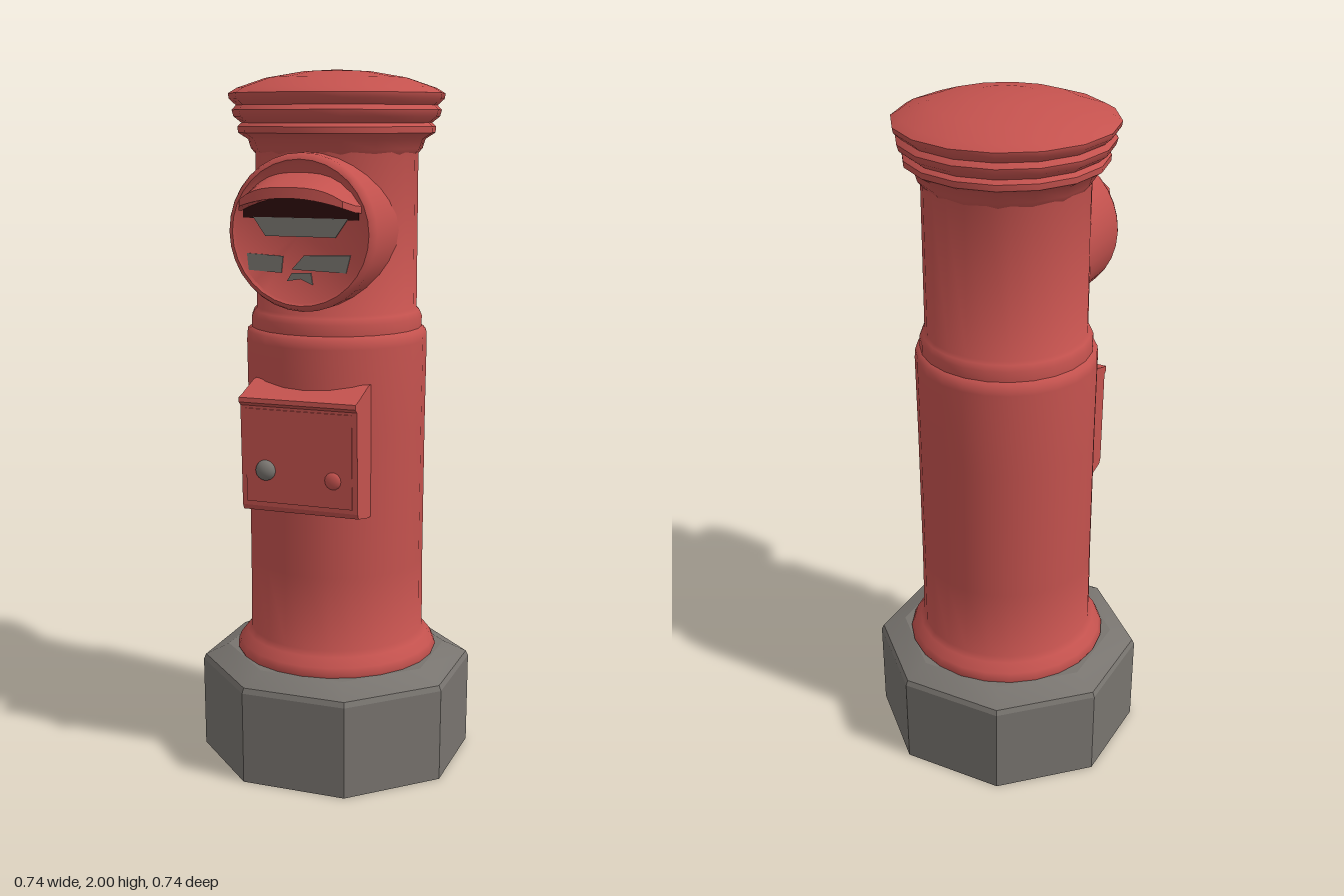
import * as THREE from 'three';
import { toCreasedNormals } from 'three/addons/utils/BufferGeometryUtils.js';

const AXIS_Z = -0.012;

function material(name, color, side = THREE.FrontSide) {
  const m = new THREE.MeshStandardMaterial({ color, side });
  m.name = name;
  return m;
}

function lathe(profile, segments, crease, phase = 0) {
  const points = profile.map(([r, y]) => new THREE.Vector2(r, y));
  return toCreasedNormals(new THREE.LatheGeometry(points, segments, phase), crease);
}

// Arched hood lofted through three closed cross-sections, back to front
function visorGeometry() {
  const N = 12, positions = [], index = [];
  const sections = [ // z, front bulge, half width, top middle, under middle, edge height
    [0.25, 0, 0.175, 1.735, 1.668, 1.622],
    [0.30, 0.005, 0.166, 1.712, 1.666, 1.626],
    [0.345, 0.02, 0.145, 1.692, 1.664, 1.64],
  ];
  for (const [z, bulge, w, top, under, edge] of sections) {
    const add = (u, mid, power, base) => positions.push(
      u * w, base + (mid - base) * (1 - Math.abs(u) ** power), z + bulge * (1 - u * u));
    for (let i = 0; i <= N; i++) add(-1 + 2 * i / N, top, 3, edge + 0.018);
    for (let i = N; i >= 0; i--) add(-1 + 2 * i / N, under, 2, edge);
  }
  const ring = 2 * N + 2;
  for (let s = 0; s < sections.length - 1; s++) {
    for (let i = 0; i < ring; i++) {
      const a = s * ring + i, b = s * ring + (i + 1) % ring;
      index.push(a, a + ring, b, b, a + ring, b + ring);
    }
  }
  const last = (sections.length - 1) * ring;
  for (let i = 0; i < N; i++) {
    const t0 = last + i, t1 = t0 + 1, b0 = last + 2 * N + 1 - i, b1 = b0 - 1;
    index.push(b0, b1, t1, b0, t1, t0);
  }
  const g = new THREE.BufferGeometry();
  g.setAttribute('position', new THREE.Float32BufferAttribute(positions, 3));
  g.setIndex(index);
  return toCreasedNormals(g, 0.7);
}

// Thin plate outlined in x, y
function plate(points, depth = 0.006) {
  const shape = new THREE.Shape(points.map(([x, y]) => new THREE.Vector2(x, y)));
  return new THREE.ExtrudeGeometry(shape, { depth, bevelEnabled: false });
}

export function createModel() {
  const model = new THREE.Group();
  model.name = 'pillarPostBox';
  const red = material('red paint', 0xc4524e);
  const grey = material('grey stone', 0x78746f);
  const dark = material('dark slot', 0x2c0c0c);

  const add = (name, geometry, mat, x = 0, y = 0, z = 0, parent = model) => {
    const mesh = new THREE.Mesh(geometry, mat);
    mesh.name = name;
    mesh.position.set(x, y, z);
    parent.add(mesh);
    return mesh;
  };

  // Octagonal stone plinth
  const plinth = add('plinth', lathe([[0, 0], [0.4, 0], [0.402, 0.27], [0.395, 0.285],
    [0.325, 0.318], [0, 0.318]], 8, 0.35, Math.PI / 8), grey, 0, 0, -0.01);
  plinth.scale.z = 0.97;

  // Column with foot flare and shoulder
  add('column', lathe([[0.29, 0.31], [0.297, 0.325], [0.288, 0.345], [0.268, 0.37], [0.256, 0.385],
    [0.255, 0.6], [0.257, 1.0], [0.26, 1.25], [0.258, 1.275], [0.245, 1.285], [0.245, 1.315],
    [0.238, 1.332], [0.23, 1.34], [0.23, 1.78], [0.235, 1.8]], 24, 0.9), red, 0, 0, AXIS_Z);

  // Moulded cap with shallow dome
  add('cap', lathe([[0.225, 1.765], [0.242, 1.785], [0.25, 1.81], [0.278, 1.828], [0.279, 1.845],
    [0.268, 1.855], [0.29, 1.872], [0.295, 1.89], [0.283, 1.903], [0.302, 1.92], [0.305, 1.935],
    [0.28, 1.95], [0.2, 1.977], [0.1, 1.994], [0, 2]], 16, 0.8), red, 0, 0, AXIS_Z - 0.003);

  // Round letter mouth
  const mouth = new THREE.Group();
  mouth.name = 'letterMouth';
  mouth.position.set(0, 0, 0);
  model.add(mouth);
  const drum = add('drum', lathe([[0.2, 0], [0.212, 0.05], [0.212, 0.258], [0.206, 0.272], [0.195, 0.277],
    [0.188, 0.27], [0, 0.268]], 32, 0.8), red, 0, 1.567, 0, mouth);
  drum.rotation.x = Math.PI / 2;
  add('visor', visorGeometry(), red, 0, 0, 0, mouth);
  add('slot', plate([[-0.165, 1.605], [0.165, 1.605], [0.165, 1.635], [0.08, 1.665],
    [-0.08, 1.665], [-0.165, 1.635]]), dark, 0, 0, 0.267, mouth);
  add('slotPlate', plate([[-0.1, 1.558], [0.1, 1.558], [0.135, 1.608], [-0.135, 1.608]], 0.008),
    grey, 0, 0, 0.267, mouth);

  // Worn grey patches below the slot
  const patches = [
    [[-0.15, 1.465], [-0.055, 1.46], [-0.05, 1.505], [-0.155, 1.51]],
    [[-0.025, 1.47], [0.13, 1.465], [0.142, 1.512], [0.01, 1.508]],
    [[-0.04, 1.438], [0, 1.445], [0.035, 1.43], [0.03, 1.462], [-0.025, 1.46]],
  ];
  patches.forEach((p, i) => add('patch' + (i + 1), plate(p), grey, 0, 0, 0.267, mouth));

  // Collection box: side outline swept across x
  const box = new THREE.Group();
  box.name = 'collectionBox';
  model.add(box);
  const side = new THREE.Shape([[0.1, 0.775], [0.2, 0.778], [0.28, 0.795], [0.288, 0.81], [0.297, 1.095],
    [0.309, 1.105], [0.308, 1.118], [0.28, 1.125], [0.2, 1.152], [0.1, 1.155]]
    .map(([z, y]) => new THREE.Vector2(z, y)));
  const sweep = new THREE.ExtrudeGeometry(side, { depth: 0.34, bevelEnabled: false });
  const body = add('boxBody', sweep, red, 0.17, 0, 0, box);
  body.rotation.y = -Math.PI / 2;

  // Door panel, knob and small catch
  const door = add('doorPanel', new THREE.BoxGeometry(0.31, 0.265, 0.008), red, 0, 0.955, 0.292, box);
  door.rotation.x = 0.03;
  add('knob', new THREE.SphereGeometry(0.029, 16, 12), grey, -0.097, 0.915, 0.295, box).scale.z = 0.75;
  add('catch', new THREE.SphereGeometry(0.025, 12, 8), red, 0.1, 0.9, 0.292, box).scale.z = 0.5;

  return model;
}
